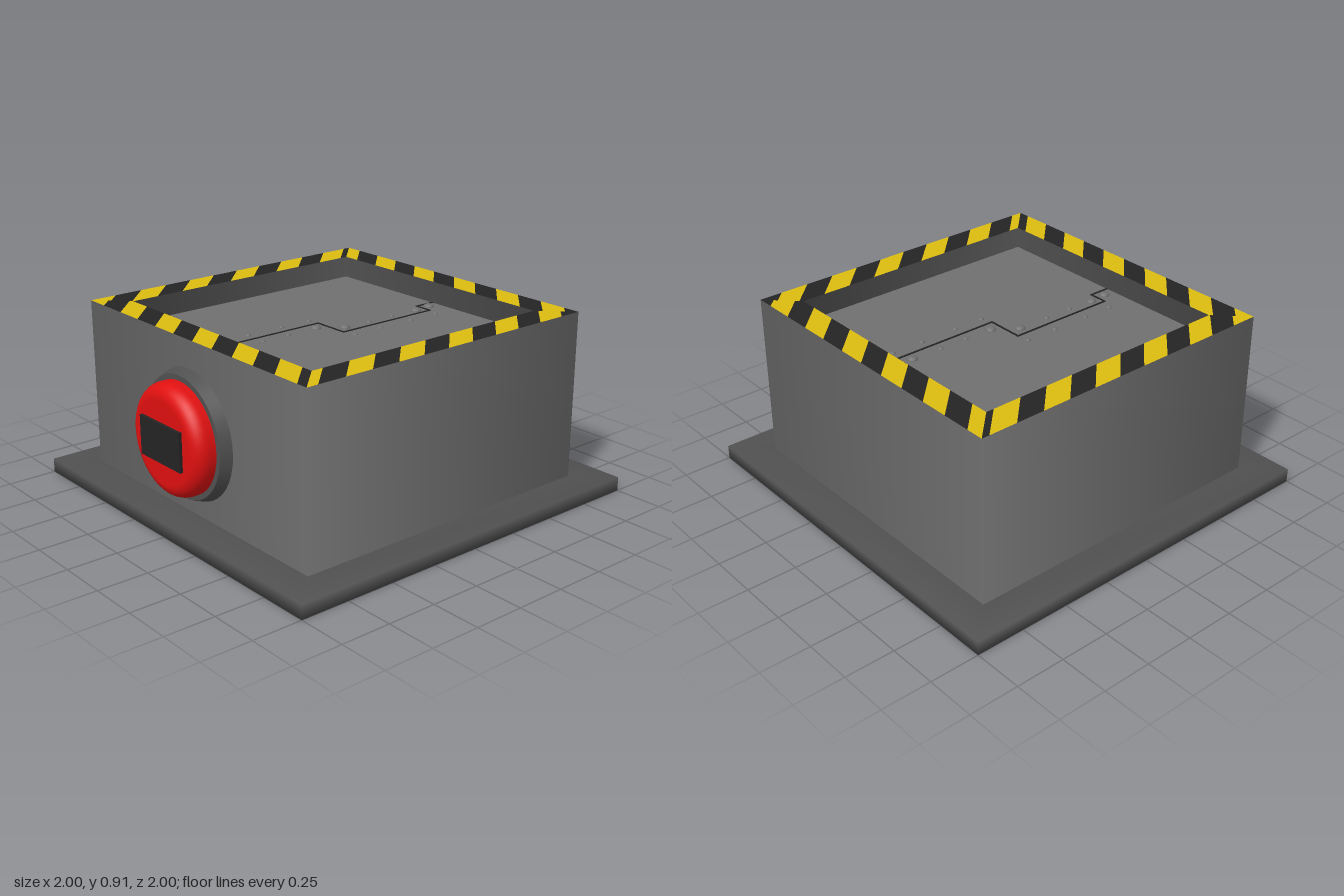
import * as THREE from 'three';

const mat = (name, color, side = THREE.FrontSide) => {
  const m = new THREE.MeshStandardMaterial({ color, side });
  m.name = name;
  return m;
};

export function createModel() {
  const group = new THREE.Group();
  const grey = mat('steel grey', 0x707070);
  const dark = mat('dark steel', 0x505050);
  const yellow = mat('hazard yellow', 0xdcbc10);
  const black = mat('hazard black', 0x242424);
  const red = mat('button red', 0xe01010);
  const under = mat('underside black', 0x111111);

  const add = (name, geometry, material, x = 0, y = 0, z = 0, parent = group) => {
    const mesh = new THREE.Mesh(geometry, material);
    mesh.name = name;
    mesh.position.set(x, y, z);
    parent.add(mesh);
    return mesh;
  };
  const subgroup = (name) => {
    const g = new THREE.Group();
    g.name = name;
    group.add(g);
    return g;
  };
  // Four-sided smooth shell; the profile gives [half width, height]
  const squareShell = (profile) => new THREE.LatheGeometry(
    profile.map(([r, y]) => new THREE.Vector2(r * Math.SQRT2, y)), 4, Math.PI / 4);
  // Shape drawn in top view as [x, -z]
  const toShape = (pts) => new THREE.Shape(pts.map(([x, y]) => new THREE.Vector2(x, y)));

  const OUT = 0.827, IN = 0.68, TOP = 0.91, FLOOR = 0.8;

  // Base flange, body and recess walls
  add('baseFlange', squareShell([[0.81, 0.045], [1, 0], [1, 0.07], [OUT, 0.07]]), dark);
  add('underside', new THREE.PlaneGeometry(1.62, 1.62).rotateX(Math.PI / 2), under, 0, 0.045, 0);
  add('body', squareShell([[OUT, 0.07], [OUT, TOP]]), grey);
  add('recessWalls', squareShell([[IN, TOP], [IN, FLOOR - 0.04]]), dark);

  // Hazard rim: mitred strips cut into diagonal bands
  const clip = (poly, sign, limit) => {
    const out = [];
    poly.forEach((a, i) => {
      const b = poly[(i + 1) % poly.length];
      const da = sign * (a[0] - a[1] - limit), db = sign * (b[0] - b[1] - limit);
      if (da >= 0) out.push(a);
      if (da * db < 0) {
        const t = da / (da - db);
        out.push([a[0] + (b[0] - a[0]) * t, a[1] + (b[1] - a[1]) * t]);
      }
    });
    return out;
  };
  const rim = subgroup('hazardRim');
  const period = 0.295, phases = [-1.22, -1.24, 0.06, 0.09];
  let strip = [[-OUT, OUT], [-IN, IN], [IN, IN], [OUT, OUT]];
  phases.forEach((phase) => {
    for (let k = -14; k <= 14; k++) {
      const start = phase + k * period / 2;
      const band = clip(clip(strip, 1, start), -1, start + period / 2);
      if (band.length < 3) continue;
      const isBlack = k % 2 === 0;
      const geo = new THREE.ShapeGeometry(toShape(band)).rotateX(-Math.PI / 2);
      add(isBlack ? 'blackStripe' : 'yellowStripe', geo, isBlack ? black : yellow, 0, TOP, 0, rim);
    }
    strip = strip.map(([x, y]) => [-y, x]);
  });

  // Interlocking hatch doors
  const seam = [[-IN, 0.005], [-0.57, 0.005], [-0.57, 0.1], [0, 0.1],
    [0, -0.09], [0.57, -0.09], [0.57, 0.005], [IN, 0.005]];
  const door = (name, edge) => {
    const geo = new THREE.ExtrudeGeometry(toShape([...seam, [IN, edge], [-IN, edge]]),
      { depth: 0.04, bevelEnabled: false }).rotateX(-Math.PI / 2);
    add(name, geo, grey, 0, FLOOR - 0.04, 0);
  };
  door('backDoor', IN);
  door('frontDoor', -IN);

  // Seam line between the doors
  const seamGroup = subgroup('doorSeam');
  for (let i = 0; i < seam.length - 1; i++) {
    const [a, b] = [seam[i], seam[i + 1]];
    add('seamLine', new THREE.BoxGeometry(Math.abs(b[0] - a[0]) + 0.01, 0.004, Math.abs(b[1] - a[1]) + 0.01),
      black, (a[0] + b[0]) / 2, FLOOR + 0.001, -(a[1] + b[1]) / 2, seamGroup);
  }

  // Domed rivets at [x, z]
  const rivets = subgroup('rivets');
  const addRivets = (name, radius, spots) => {
    const geo = new THREE.SphereGeometry(radius, 14, 5, 0, Math.PI * 2, 0, Math.PI / 2).scale(1, 0.6, 1);
    spots.forEach(([x, z]) => add(name, geo, grey, x, FLOOR, z, rivets));
  };
  addRivets('largeRivet', 0.027, [[-0.62, -0.045], [-0.52, -0.055], [-0.06, -0.045],
    [0.055, 0.035], [0.515, 0.045], [0.615, 0.035]]);
  addRivets('smallRivet', 0.015, [[-0.54, -0.16], [-0.38, -0.16], [-0.18, -0.16], [-0.01, -0.16],
    [-0.38, -0.045], [-0.23, -0.045], [0.205, 0.04], [0.355, 0.04],
    [0.02, 0.15], [0.18, 0.15], [0.38, 0.15], [0.55, 0.15]]);

  // Side push button, built along +y and turned to face -x
  const button = subgroup('sideButton');
  button.position.set(-OUT, 0.46, 0);
  button.rotation.z = Math.PI / 2;
  add('buttonCollar', new THREE.CylinderGeometry(0.295, 0.315, 0.056, 40), dark, 0, 0.028, 0, button);
  const cap = [new THREE.Vector2(0.27, 0.05)];
  for (let i = 0; i <= 8; i++) {
    const a = (i / 8) * Math.PI / 2;
    cap.push(new THREE.Vector2(0.2 + 0.07 * Math.cos(a), 0.088 + 0.07 * Math.sin(a)));
  }
  cap.push(new THREE.Vector2(0, 0.158));
  add('buttonCap', new THREE.LatheGeometry(cap, 40), red, 0, 0, 0, button);
  add('buttonPlate', new THREE.BoxGeometry(0.19, 0.017, 0.31), black, 0, 0.1645, 0, button);

  return group;
}
